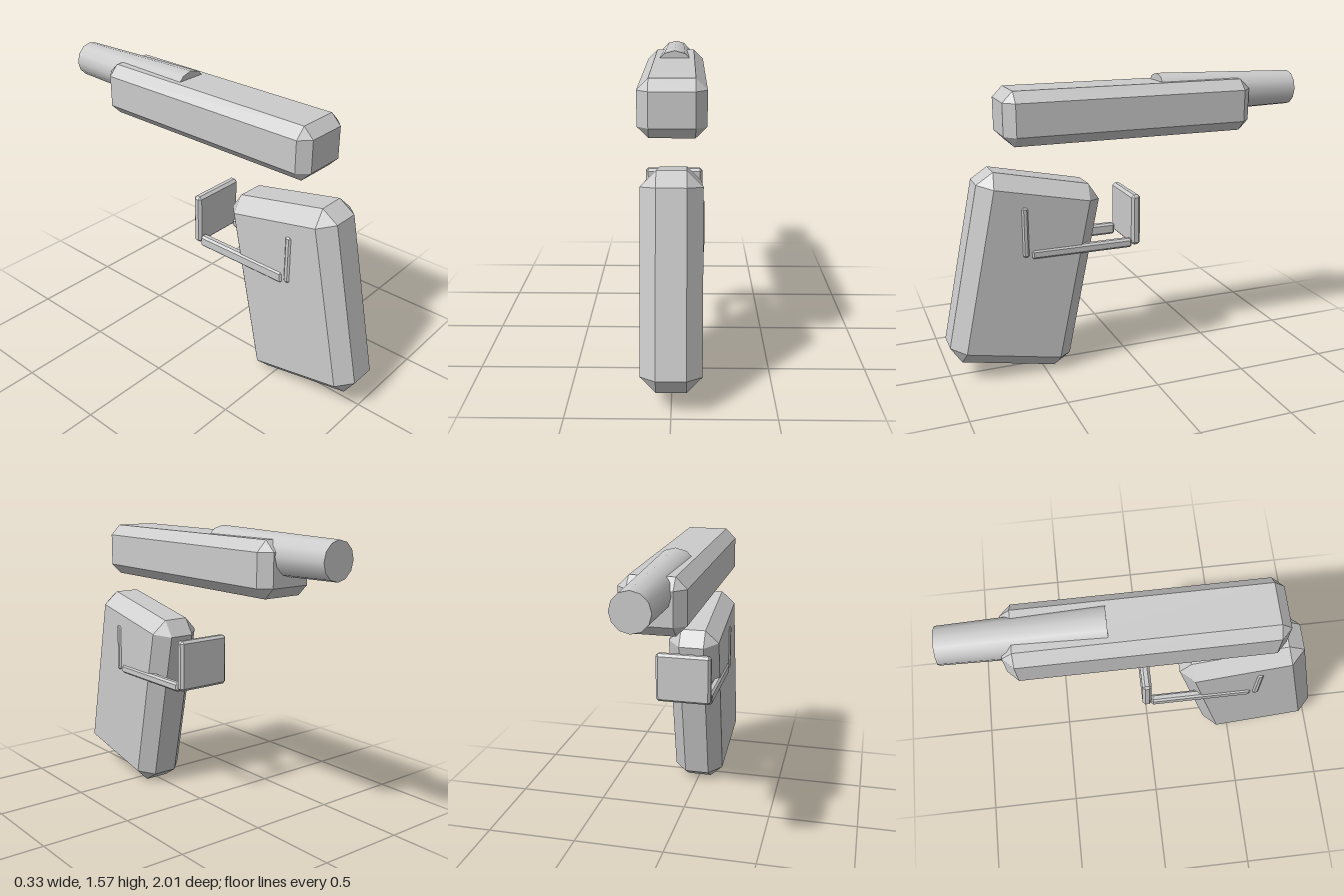
import * as THREE from 'three';
import { ConvexGeometry } from 'three/addons/geometries/ConvexGeometry.js';

const material = new THREE.MeshStandardMaterial({ color: 0xcccccc, flatShading: true });
const smoothMaterial = new THREE.MeshStandardMaterial({ color: 0xcccccc });

// Box with all edges cut at 45 degrees and triangular corners
function chamferedBox(name, size, chamfer, position) {
  const points = [];
  const half = size.map((s) => s / 2);
  for (const sx of [-1, 1]) for (const sy of [-1, 1]) for (const sz of [-1, 1]) {
    for (let axis = 0; axis < 3; axis++) {
      const inset = half.map((h, i) => (i === axis ? h : h - chamfer));
      points.push(new THREE.Vector3(sx * inset[0], sy * inset[1], sz * inset[2]));
    }
  }
  const mesh = new THREE.Mesh(new ConvexGeometry(points), material);
  mesh.name = name;
  mesh.position.set(...position);
  return mesh;
}

export function createModel() {
  const model = new THREE.Group();
  model.name = 'pistol';

  // Upper body
  model.add(chamferedBox('slide', [0.33, 0.28, 1.38], 0.055, [0, 1.395, -0.007]));

  // Tapered barrel, thinner at the muzzle
  const barrel = new THREE.Mesh(new THREE.CylinderGeometry(0.115, 0.095, 0.81, 12), smoothMaterial);
  barrel.name = 'barrel';
  barrel.rotation.x = Math.PI / 2;
  barrel.position.set(0, 1.46, -0.595);
  model.add(barrel);

  // Leaning handle
  const grip = chamferedBox('grip', [0.295, 1.04, 0.67], 0.076, [0, 0.565, 0.5875]);
  grip.rotation.x = -0.205;
  model.add(grip);

  // Trigger guard: two upright plates joined by a rail on each side
  const guard = new THREE.Group();
  guard.name = 'triggerGuard';
  guard.add(chamferedBox('guardFrontPlate', [0.312, 0.28, 0.05], 0.014, [0, 0.813, -0.015]));
  guard.add(chamferedBox('guardRearPlate', [0.312, 0.27, 0.036], 0.01, [0, 0.812, 0.597]));
  guard.add(chamferedBox('guardLeftRail', [0.044, 0.05, 0.56], 0.011, [0.134, 0.688, 0.288]));
  guard.add(chamferedBox('guardRightRail', [0.044, 0.064, 0.56], 0.011, [-0.134, 0.69, 0.288]));
  model.add(guard);

  return model;
}
